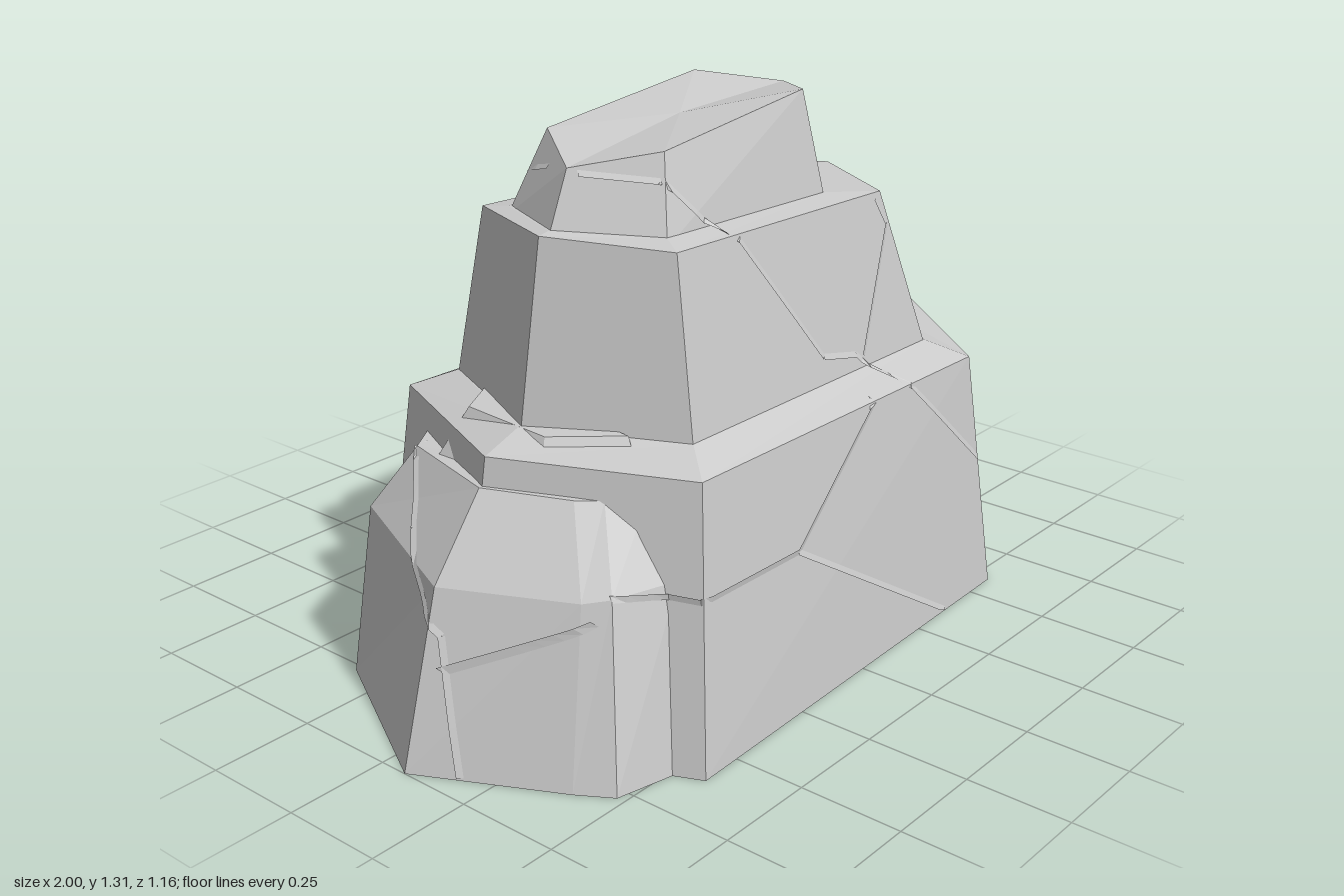
import * as THREE from 'three';

const stone = new THREE.MeshStandardMaterial({ color: 0xcccccc, flatShading: true });
const thinStone = new THREE.MeshStandardMaterial({ color: 0xcccccc, flatShading: true, side: THREE.DoubleSide });

function makeMesh(name, positions, material) {
  const g = new THREE.BufferGeometry();
  g.setAttribute('position', new THREE.Float32BufferAttribute(positions, 3));
  g.computeVertexNormals();
  const m = new THREE.Mesh(g, material);
  m.name = name;
  return m;
}

// Faceted solid from rings of [x, y, z] corners, counter-clockwise seen from above
function loft(name, rings) {
  const out = [];
  const tri = (a, b, c) => out.push(...a, ...b, ...c);
  const n = rings[0].length;
  const middle = r => [0, 1, 2].map(k => r.reduce((s, p) => s + p[k], 0) / n);
  const bottom = rings[0], top = rings[rings.length - 1];
  const lo = middle(bottom), hi = middle(top);
  for (let i = 0; i < n; i++) {
    const j = (i + 1) % n;
    for (let k = 0; k + 1 < rings.length; k++) {
      const a = rings[k], b = rings[k + 1];
      tri(a[i], a[j], b[j]);
      tri(a[i], b[j], b[i]);
    }
    tri(hi, top[i], top[j]);
    tri(lo, bottom[j], bottom[i]);
  }
  return makeMesh(name, out, stone);
}

// Viewing sides for projecting cracks: [ray origin from (u, v), direction]
const sides = {
  front: [(u, v) => [u, v, 5], [0, 0, -1]],
  back: [(u, v) => [u, v, -5], [0, 0, 1]],
  right: [(u, v) => [5, v, u], [-1, 0, 0]],
  left: [(u, v) => [-5, v, u], [1, 0, 0]],
};

// Narrow fissure line laid over the rock surface along a 2D path
function crack(name, rock, side, path, width = 0.014) {
  const [origin, dir] = sides[side];
  const ray = new THREE.Raycaster();
  const project = (u, v, lift) => {
    ray.set(new THREE.Vector3(...origin(u, Math.max(v, 0.004))), new THREE.Vector3(...dir));
    const hit = ray.intersectObjects(rock, false)[0];
    return hit && hit.point.addScaledVector(hit.face.normal, lift);
  };
  const out = [];
  for (let s = 0; s + 1 < path.length; s++) {
    const [u0, v0] = path[s], [u1, v1] = path[s + 1];
    const len = Math.hypot(u1 - u0, v1 - v0), steps = Math.ceil(len / 0.03);
    const px = -(v1 - v0) / len * width / 2, py = (u1 - u0) / len * width / 2;
    let last = null;
    for (let i = 0; i <= steps; i++) {
      const t = i / steps, u = u0 + (u1 - u0) * t, v = v0 + (v1 - v0) * t;
      const a = project(u + px, v + py, 0.001), b = project(u - px, v - py, 0.005);
      const pair = a && b && a.distanceTo(b) < 0.05 ? [a, b] : null;
      if (pair && last && last[0].distanceTo(a) < 0.12) {
        for (const p of [last[0], last[1], b, last[0], b, a]) out.push(p.x, p.y, p.z);
      }
      last = pair;
    }
  }
  return makeMesh(name, out, thinStone);
}

export function createModel() {
  const group = new THREE.Group();
  group.name = 'steppedRock';

  // Three stacked tiers; corners: right tip, back right, back left, left tip, front left, front right
  const lower = loft('lowerTier', [
    [[1, 0, 0.07], [0.59, 0, -0.44], [-0.6, 0, -0.43], [-0.84, 0, 0.07], [-0.61, 0, 0.58], [0.59, 0, 0.54]],
    [[0.87, 0.61, 0.07], [0.52, 0.62, -0.37], [-0.54, 0.645, -0.37], [-0.73, 0.645, 0.07], [-0.54, 0.645, 0.51], [0.52, 0.62, 0.49]],
    [[0.65, 0.65, 0.07], [0.46, 0.655, -0.29], [-0.46, 0.68, -0.29], [-0.63, 0.68, 0.07], [-0.46, 0.68, 0.42], [0.47, 0.655, 0.39]],
  ]);
  const middle = loft('middleTier', [
    [[0.65, 0.64, 0.07], [0.46, 0.645, -0.29], [-0.46, 0.67, -0.29], [-0.62, 0.67, 0.07], [-0.46, 0.67, 0.42], [0.47, 0.645, 0.39]],
    [[0.49, 1.05, 0.07], [0.31, 1.05, -0.22], [-0.43, 1.08, -0.22], [-0.55, 1.09, 0.07], [-0.43, 1.08, 0.35], [0.34, 1.05, 0.33]],
    [[0.37, 1.06, 0.07], [0.21, 1.065, -0.15], [-0.42, 1.09, -0.15], [-0.52, 1.095, 0.07], [-0.39, 1.09, 0.29], [0.2, 1.065, 0.27]],
  ]);
  const upper = loft('upperTier', [
    [[0.37, 1.05, 0.07], [0.21, 1.05, -0.15], [-0.42, 1.07, -0.15], [-0.52, 1.08, 0.07], [-0.39, 1.07, 0.29], [0.2, 1.05, 0.27]],
    [[0.3, 1.285, 0.07], [0.17, 1.31, -0.1], [-0.34, 1.26, -0.1], [-0.46, 1.22, 0.07], [-0.34, 1.26, 0.24], [0.16, 1.31, 0.23]],
  ]);

  // Sloping block against the back
  const backBlock = loft('backButtress', [
    [[0.48, 0, -0.2], [0.48, 0, -0.42], [0.36, 0, -0.58], [-0.34, 0, -0.58], [-0.64, 0, -0.39], [-0.6, 0, -0.2]],
    [[0.42, 0.61, -0.3], [0.42, 0.57, -0.4], [0.3, 0.475, -0.54], [-0.25, 0.475, -0.53], [-0.53, 0.59, -0.38], [-0.5, 0.61, -0.3]],
  ]);

  // Rounded-off block against the left end
  const sideBlock = loft('sideButtress', [
    [[-0.5, 0, -0.38], [-0.64, 0, -0.385], [-0.77, 0, -0.35], [-1, 0, 0.07], [-0.83, 0, 0.4], [-0.78, 0, 0.48], [-0.61, 0, 0.52], [-0.5, 0, 0.5]],
    [[-0.5, 0.42, -0.34], [-0.63, 0.44, -0.34], [-0.73, 0.42, -0.31], [-0.89, 0.4, 0.07], [-0.75, 0.4, 0.36], [-0.71, 0.41, 0.41], [-0.57, 0.42, 0.47], [-0.5, 0.42, 0.46]],
    [[-0.48, 0.6, -0.25], [-0.6, 0.58, -0.25], [-0.66, 0.57, -0.22], [-0.75, 0.58, 0.07], [-0.67, 0.58, 0.27], [-0.63, 0.58, 0.32], [-0.55, 0.6, 0.38], [-0.48, 0.6, 0.36]],
  ]);

  // Small chips where the left block meets the tiers
  const chip = loft('ledgeChip', [
    [[-0.5, 0.55, 0.07], [-0.53, 0.55, -0.2], [-0.68, 0.55, -0.15], [-0.7, 0.55, 0.2], [-0.58, 0.55, 0.4]],
    [[-0.5, 0.69, 0.07], [-0.52, 0.69, -0.14], [-0.61, 0.68, -0.1], [-0.63, 0.68, 0.15], [-0.53, 0.69, 0.3]],
  ]);

  const rock = [lower, middle, upper, backBlock, sideBlock, chip];
  group.add(...rock);

  // Fissures running over the faces
  const cracks = [
    ['front', [[-0.45, 1.21], [-0.36, 1.2], [-0.22, 1.06], [0.04, 0.73], [0.17, 0.7], [0.59, 0.31], [0.92, 0.005]]],
    ['front', [[0.3, 1.06], [0.35, 0.97], [0.2, 0.69]]],
    ['front', [[0.1, 0.63], [-0.23, 0.38], [-0.57, 0.39], [-0.71, 0.41]]],
    ['front', [[-0.23, 0.38], [0.37, 0.005]]],
    ['front', [[-0.74, 0.36], [-0.94, 0.21]]],
    ['right', [[-0.01, 0.01], [-0.33, 0.31], [-0.38, 0.42]]],
    ['back', [[-0.42, 1.2], [-0.2, 1.06], [0.22, 0.67]]],
    ['left', [[-0.22, 0.57], [-0.1, 0.45], [0.1, 0.3], [0.18, 0.005]]],
  ];
  cracks.forEach(([side, path], i) => group.add(crack(`${side}Crack${i + 1}`, rock, side, path)));

  return group;
}
